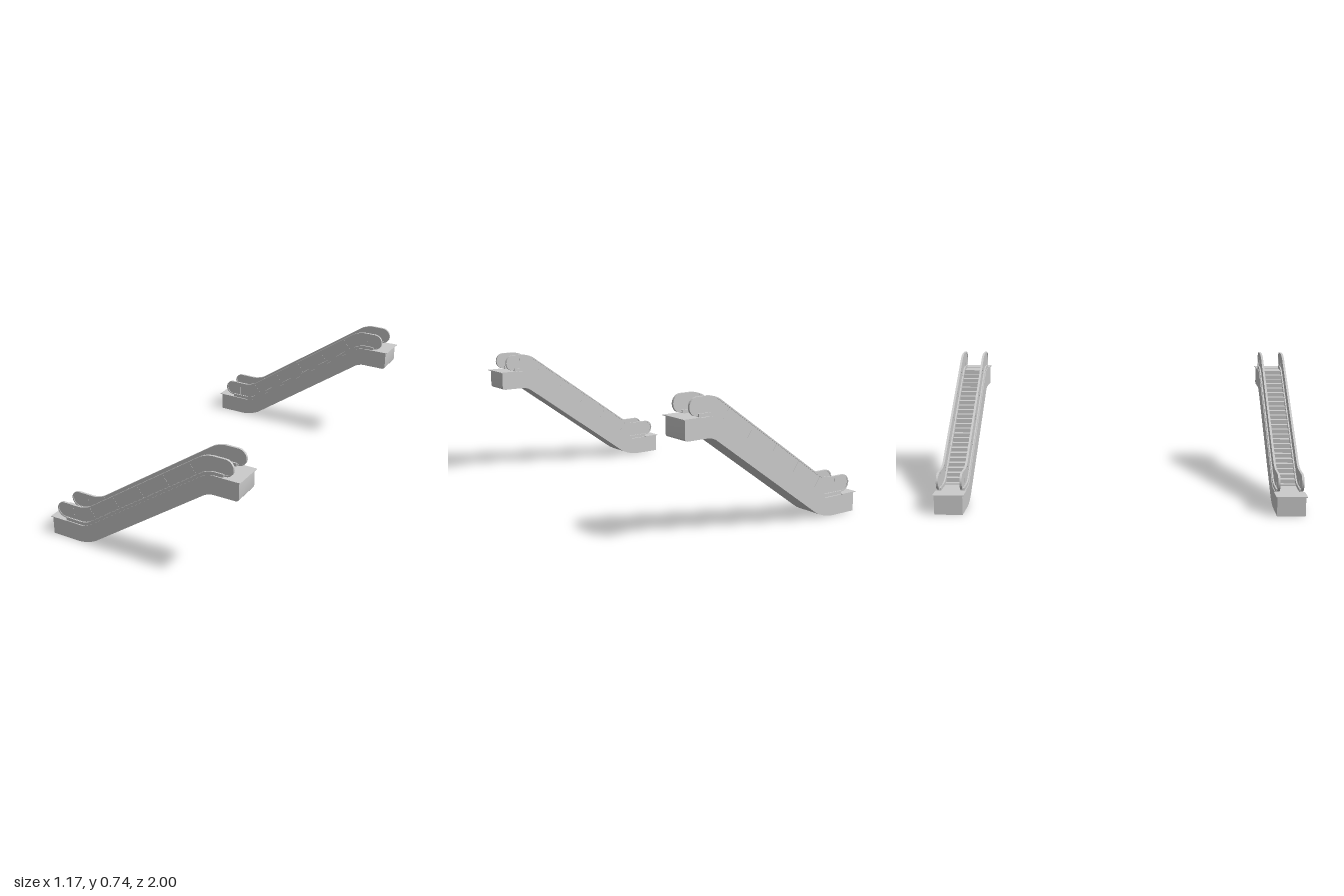
import * as THREE from 'three';
import { toCreasedNormals } from 'three/addons/utils/BufferGeometryUtils.js';

const SLOPE = 0.7;
const ANGLE = Math.atan(SLOPE);
const STRETCH = Math.hypot(1, SLOPE);
const grey = new THREE.MeshStandardMaterial({ color: 0xcccccc, side: THREE.DoubleSide });

// x where the incline y = c + SLOPE * x reaches height y
const at = (c, y) => (y - c) / SLOPE;

// Closed outline through corners [x, y, fillet length]
function rounded(corners, Type = THREE.Shape) {
  const path = new Type();
  corners.forEach(([x, y, r = 0], i) => {
    const n = corners.length;
    const p = new THREE.Vector2(x, y);
    const toward = (j) => {
      const [qx, qy] = corners[(j + n) % n];
      return new THREE.Vector2(qx, qy).sub(p).normalize();
    };
    const a = toward(i - 1), b = toward(i + 1);
    const s = p.clone().addScaledVector(a, r), e = p.clone().addScaledVector(b, r);
    if (i === 0) path.moveTo(s.x, s.y); else path.lineTo(s.x, s.y);
    if (r > 0) {
      const c1 = s.clone().lerp(p, 0.55), c2 = e.clone().lerp(p, 0.55);
      path.bezierCurveTo(c1.x, c1.y, c2.x, c2.y, e.x, e.y);
    }
  });
  path.closePath();
  return path;
}

function add(parent, name, geometry, x = 0, y = 0, z = 0) {
  const mesh = new THREE.Mesh(geometry, grey);
  mesh.name = name;
  mesh.position.set(x, y, z);
  parent.add(mesh);
  return mesh;
}

// Side profile extruded to a width centred on z = 0
function slab(shape, width) {
  const g = new THREE.ExtrudeGeometry(shape, { depth: width, bevelEnabled: false, curveSegments: 10 });
  g.translate(0, 0, -width / 2);
  return toCreasedNormals(g, 0.6);
}

// Truss outline; c sets how high the sloping top edge lies
const trussShape = (c) => rounded([
  [-0.58, 0], [-0.35, 0, 0.07], [0.405, 0.53, 0.03], [0.575, 0.53, 0.018],
  [0.575, 0.635], [at(c, 0.635), 0.635, 0.03], [at(c, 0.105), 0.105, 0.03], [-0.58, 0.105],
]);

// Balustrade outline with round ends, shrunk by d
function balustradeShape(d, Type) {
  const low = 0.368 + d * STRETCH, high = 0.465 - d * STRETCH;
  const r = 0.0464 - d;
  return rounded([
    [-0.546 + d, 0.119 + d, r], [at(low, 0.119 + d), 0.119 + d, 0.03],
    [at(low, 0.643 + d), 0.643 + d, 0.03], [0.543 - d, 0.643 + d, r],
    [0.543 - d, 0.737 - d, r], [at(high, 0.737 - d), 0.737 - d, 0.045],
    [at(high, 0.212 - d), 0.212 - d, 0.045], [-0.546 + d, 0.212 - d, r],
  ], Type);
}

function createBalustrade() {
  const side = new THREE.Group();
  side.name = 'balustrade';

  // Skirt moulding along the foot of the panel
  const skirt = rounded([
    [-0.49, 0.107], [at(0.345, 0.107), 0.107, 0.03], [at(0.345, 0.637), 0.637, 0.03], [0.49, 0.637],
    [0.49, 0.655], [at(0.375, 0.655), 0.655, 0.04], [at(0.375, 0.125), 0.125, 0.04], [-0.49, 0.125],
  ]);
  add(side, 'skirt', slab(skirt, 0.02));

  // Panel and the handrail loop around it
  add(side, 'panel', slab(balustradeShape(0.005), 0.005));
  const rail = balustradeShape(0);
  rail.holes.push(balustradeShape(0.007, THREE.Path));
  add(side, 'handrail', slab(rail, 0.012));

  // Joints between panel sections
  for (let i = -2; i <= 2; i++) {
    const x = i * 0.157;
    const joint = add(side, 'panelJoint', new THREE.BoxGeometry(0.002, 0.07, 0.0065), x, 0.417 + SLOPE * x);
    joint.rotation.z = ANGLE;
  }
  add(side, 'panelJoint', new THREE.BoxGeometry(0.002, 0.084, 0.0065), -0.442, 0.165);
  add(side, 'panelJoint', new THREE.BoxGeometry(0.002, 0.084, 0.0065), 0.45, 0.69);
  return side;
}

function createEscalator() {
  const escalator = new THREE.Group();
  escalator.name = 'escalator';

  // Truss core with taller side walls
  add(escalator, 'truss', slab(trussShape(0.33), 0.145));
  for (const s of [-1, 1]) {
    add(escalator, 'trussSide', slab(trussShape(0.357), 0.012), 0, 0, s * 0.0705);
    const balustrade = createBalustrade();
    balustrade.position.z = s * 0.0635;
    escalator.add(balustrade);
  }

  // Landing plates and the floors leading to the steps
  add(escalator, 'lowerLandingPlate', new THREE.BoxGeometry(0.1, 0.004, 0.168), -0.538, 0.107);
  add(escalator, 'upperLandingPlate', new THREE.BoxGeometry(0.1, 0.004, 0.168), 0.536, 0.637);
  add(escalator, 'lowerFloor', new THREE.BoxGeometry(0.14, 0.01, 0.12), -0.43, 0.103);
  add(escalator, 'upperFloor', new THREE.BoxGeometry(0.12, 0.03, 0.12), 0.443, 0.622);

  // Steps
  for (let i = 0; i < 24; i++) {
    const x = -0.345 + i * 0.031;
    add(escalator, 'step', new THREE.BoxGeometry(0.031, 0.04, 0.12), x, 0.337 + SLOPE * x);
  }
  return escalator;
}

export function createModel() {
  const model = new THREE.Group();
  model.name = 'escalatorPair';
  for (const s of [-1, 1]) {
    const escalator = createEscalator();
    escalator.position.z = s * 0.916;
    model.add(escalator);
  }
  return model;
}
